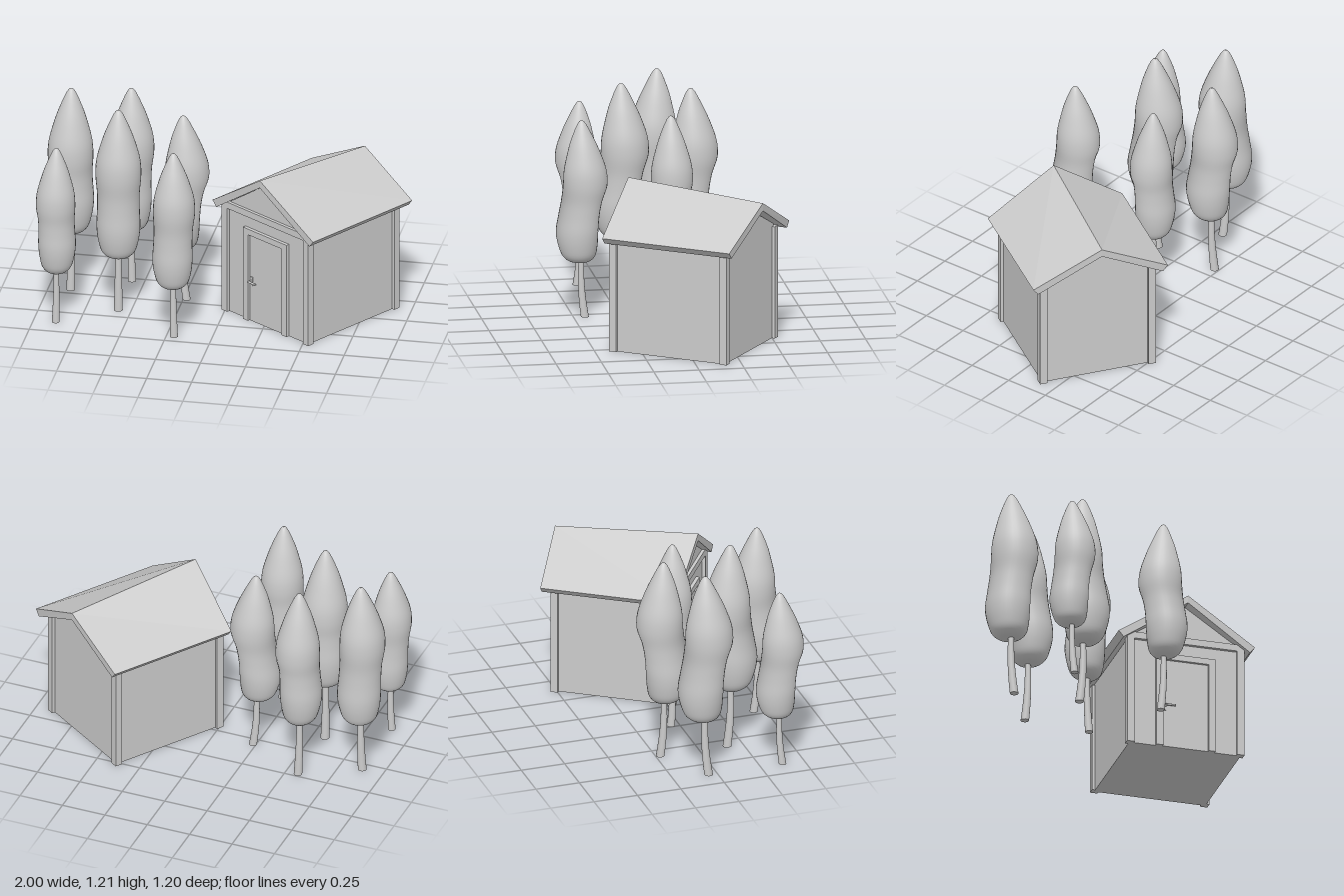
import * as THREE from 'three';

const grey = new THREE.MeshStandardMaterial({ color: 0xcccccc });

function add(parent, name, geometry, x = 0, y = 0, z = 0) {
  const mesh = new THREE.Mesh(geometry, grey);
  mesh.name = name;
  mesh.position.set(x, y, z);
  parent.add(mesh);
  return mesh;
}

// Box given by its limits on each axis
function slab(parent, name, x0, x1, y0, y1, z0, z1) {
  const g = new THREE.BoxGeometry(x1 - x0, y1 - y0, z1 - z0);
  return add(parent, name, g, (x0 + x1) / 2, (y0 + y1) / 2, (z0 + z1) / 2);
}

// Moves every vertex of a geometry by a rule
function reshape(geometry, rule) {
  const p = geometry.attributes.position;
  const v = new THREE.Vector3();
  for (let i = 0; i < p.count; i++) {
    v.fromBufferAttribute(p, i);
    rule(v, i);
    p.setXYZ(i, v.x, v.y, v.z);
  }
  return geometry;
}

// One roof slope: the ridge falls towards the back and is longer than the eave
function roofPanel(side) {
  const g = reshape(new THREE.BoxGeometry(2, 2, 2).toNonIndexed(), (v) => {
    const top = v.y > 0;
    const front = v.z > 0;
    if (v.x * side > 0) {
      v.set(side * (top ? 0.388 : 0.36), top ? 0.648 : 0.614, front ? 0.382 : -0.382);
    } else {
      v.set(0, (front ? 0.898 : 0.842) - (top ? 0 : 0.043), front ? 0.405 : -0.405);
    }
  });
  g.computeVertexNormals();
  return g;
}

function createShed() {
  const shed = new THREE.Group();
  shed.name = 'shed';

  // Walls: gabled outline, lower at the back
  const outline = new THREE.Shape([
    [-0.317, 0], [0.317, 0], [0.317, 0.64], [0, 0.855], [-0.317, 0.64],
  ].map(([x, y]) => new THREE.Vector2(x, y)));
  const walls = new THREE.ExtrudeGeometry(outline, { depth: 0.669, bevelEnabled: false });
  walls.translate(0, 0, -0.322);
  reshape(walls, (v) => { if (v.y > 0.8 && v.z < 0) v.y -= 0.056; });
  walls.computeVertexNormals();
  add(shed, 'walls', walls);

  // Roof and corner posts
  for (const side of [-1, 1]) {
    add(shed, 'roofPanel', roofPanel(side));
    for (const z of [0.344, -0.319]) {
      add(shed, 'cornerPost', new THREE.BoxGeometry(0.042, 0.63, 0.042), side * 0.313, 0.315, z);
    }
  }
  slab(shed, 'gableBeam', -0.333, 0.333, 0.622, 0.66, 0.335, 0.365);

  // Door with its frame
  const frame = new THREE.Shape([
    [-0.168, 0], [-0.13, 0], [-0.13, 0.518], [0.13, 0.518],
    [0.13, 0], [0.168, 0], [0.168, 0.552], [-0.168, 0.552],
  ].map(([x, y]) => new THREE.Vector2(x, y)));
  add(shed, 'doorFrame', new THREE.ExtrudeGeometry(frame, { depth: 0.025, bevelEnabled: false }), 0, 0, 0.342);
  slab(shed, 'door', -0.13, 0.13, 0, 0.518, 0.34, 0.352);

  // Door handle
  slab(shed, 'handlePlate', -0.122, -0.104, 0.215, 0.265, 0.352, 0.356);
  const stem = new THREE.CylinderGeometry(0.006, 0.006, 0.024, 12).rotateX(Math.PI / 2);
  add(shed, 'handleStem', stem, -0.113, 0.242, 0.366);
  const lever = new THREE.CylinderGeometry(0.006, 0.006, 0.055, 12).rotateZ(Math.PI / 2);
  add(shed, 'handleLever', lever, -0.09, 0.242, 0.377);

  shed.position.set(0.4625, 0, -0.0675);
  shed.rotation.y = -0.594;
  return shed;
}

// Crown stations: radius, height, sideways drift
const crownRows = [
  [0.002, 0.31, 0.008], [0.05, 0.315, 0.01], [0.082, 0.342, 0.014], [0.1, 0.4, 0.02],
  [0.109, 0.48, 0.025], [0.106, 0.57, 0.015], [0.106, 0.65, 0],
  [0.114, 0.74, -0.02], [0.11, 0.82, -0.02], [0.088, 0.91, -0.014],
  [0.058, 1.0, -0.006], [0.012, 1.098, 0], [0.001, 1.102, 0],
].map((r) => new THREE.Vector3(...r));

function createTree(x, z, scale, turn) {
  const tree = new THREE.Group();
  tree.name = 'tree';

  // Crown: lathed spindle whose rings drift off the axis
  const rows = new THREE.CatmullRomCurve3(crownRows).getPoints(48);
  const crown = new THREE.LatheGeometry(rows.map((r) => new THREE.Vector2(Math.max(r.x, 0), r.y)), 32);
  reshape(crown, (v, i) => {
    v.z = v.z * 1.06 + rows[i % rows.length].z;
  });
  add(tree, 'crown', crown);

  // Trunk: tapered and gently bent
  const trunk = new THREE.CylinderGeometry(0.014, 0.022, 0.36, 16, 8).translate(0, 0.18, 0);
  reshape(trunk, (v) => {
    const t = v.y / 0.36;
    v.z += -0.018 * (1 - t) * (1 - t) + 0.006 * Math.sin(t * Math.PI);
  });
  add(tree, 'trunk', trunk);

  tree.position.set(x, 0, z);
  tree.scale.setScalar(scale);
  tree.rotation.y = turn;
  return tree;
}

export function createModel() {
  const model = new THREE.Group();
  model.name = 'shedWithTrees';
  model.add(createShed());

  // x, z, scale, turn of each tree
  const trees = [
    [-0.877, -0.068, 1.09, Math.PI],
    [-0.877, 0.36, 0.94, Math.PI],
    [-0.57, -0.205, 1.058, 0],
    [-0.567, 0.18, 1.098, 0.2],
    [-0.25, -0.045, 1.0, -1.45],
    [-0.208, 0.455, 1.005, 0],
  ];
  for (const t of trees) model.add(createTree(...t));
  return model;
}
